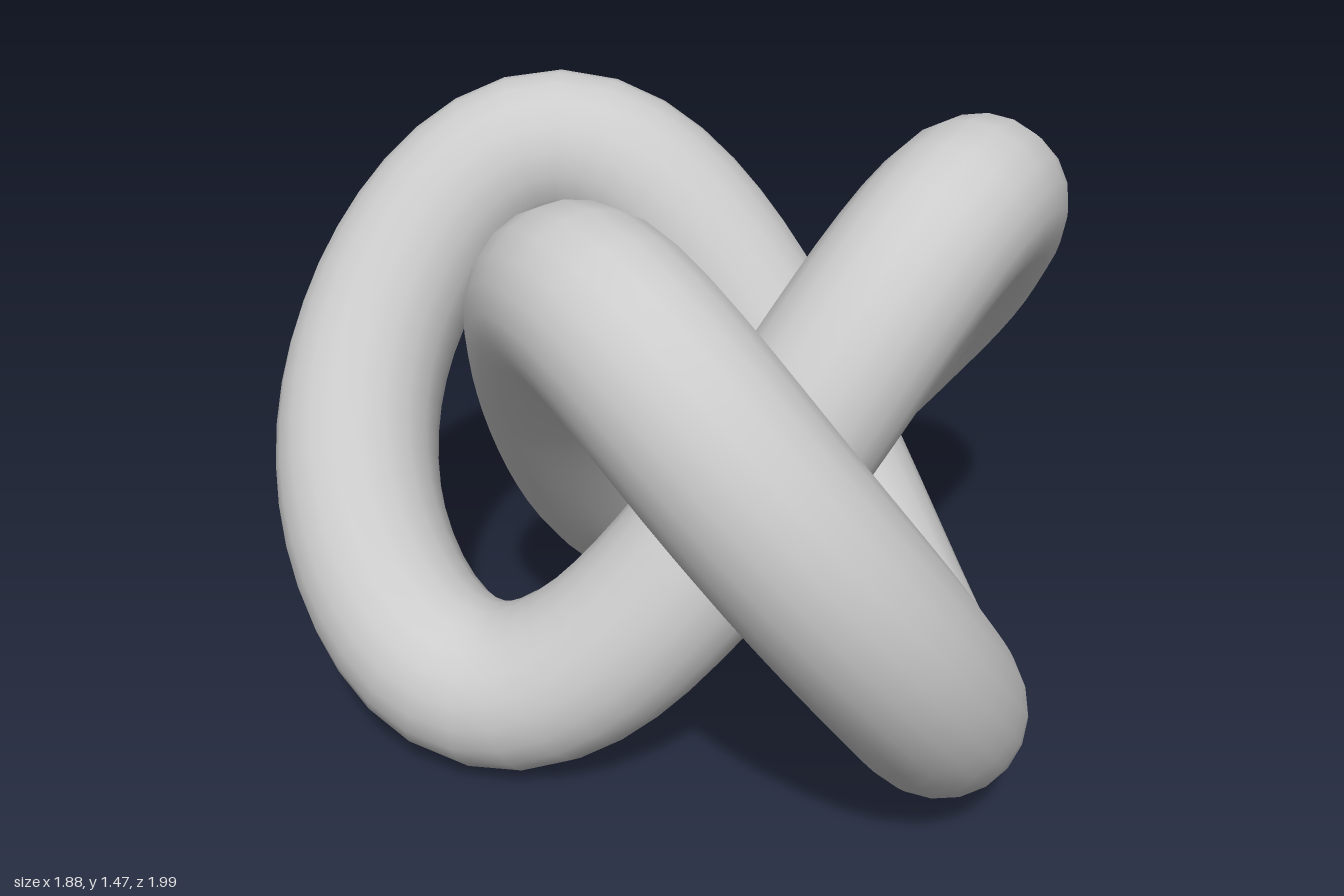
import * as THREE from 'three';

// Closed three-lobed path: winds twice round the vertical axis, rising and falling three times
class TrefoilCurve extends THREE.Curve {
  getPoint(u, target = new THREE.Vector3()) {
    const t = u * Math.PI * 2;
    const big = 0.6, small = 0.27, rise = 0.524;
    return target.set(
      0.125 - big * Math.cos(2 * t) - small * Math.cos(t),
      0.735 - rise * (Math.sin(3 * t) - 0.11 * Math.sin(6 * t)),
      big * Math.sin(2 * t) - small * Math.sin(t)
    );
  }
}

export function createModel() {
  const group = new THREE.Group();
  group.name = 'trefoilKnot';

  // Round tube swept along the knot
  const tube = new THREE.Mesh(
    new THREE.TubeGeometry(new TrefoilCurve(), 120, 0.2, 20, true),
    new THREE.MeshStandardMaterial({ color: 0xcccccc })
  );
  tube.name = 'knotTube';
  group.add(tube);
  return group;
}
